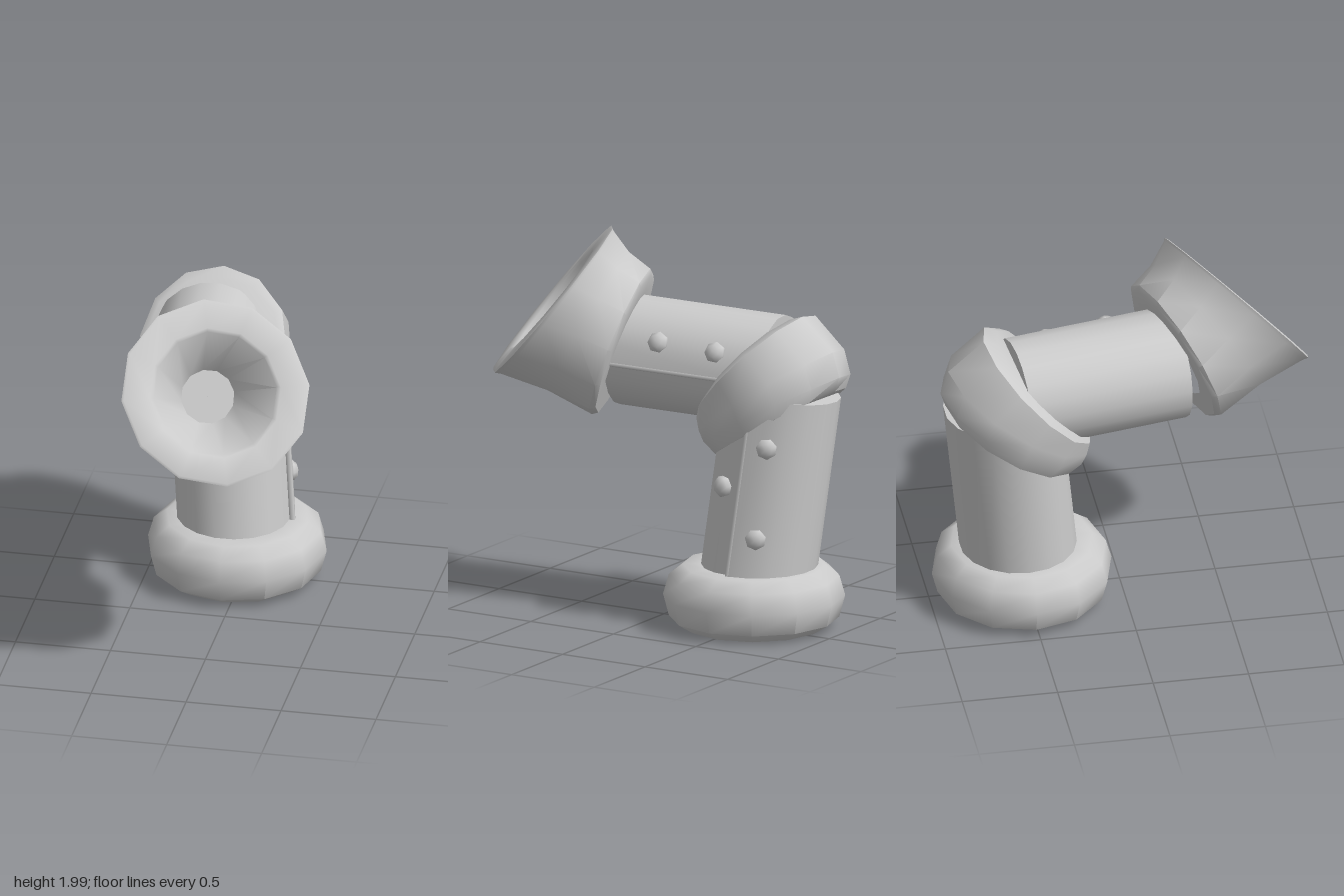
import * as THREE from 'three';
import { toCreasedNormals } from 'three/addons/utils/BufferGeometryUtils.js';

const V = (x, y, z) => new THREE.Vector3(x, y, z);
const material = new THREE.MeshStandardMaterial({ color: 0xcccccc });

// Side axes of a section facing along d, the first one as close to +x as possible
function axes(d) {
  const n = d.clone().normalize();
  const s = V(1, 0, 0).addScaledVector(n, -n.x).normalize();
  return [s, n.clone().cross(s)];
}

// Closed loop of points round c; s and t are the half axes
function ellipse(c, s, t, sides = 12, phase = 0) {
  return Array.from({ length: sides }, (_, i) => {
    const a = (i / sides) * Math.PI * 2 + phase;
    return c.clone().addScaledVector(s, Math.cos(a)).addScaledVector(t, Math.sin(a));
  });
}

function circle(c, d, r, phase = 0) {
  const [s, t] = axes(d);
  return ellipse(c, s.multiplyScalar(r), t.multiplyScalar(r), 12, phase);
}

// Skin through a row of loops
function loft(name, loops) {
  const n = loops[0].length, index = [];
  for (let i = 0; i < loops.length - 1; i++) {
    for (let j = 0; j < n; j++) {
      const a = i * n + j, b = i * n + (j + 1) % n;
      index.push(a, b, b + n, a, b + n, a + n);
    }
  }
  const geo = new THREE.BufferGeometry().setFromPoints(loops.flat());
  geo.setIndex(index);
  const mesh = new THREE.Mesh(toCreasedNormals(geo, 0.75), material);
  mesh.name = name;
  return mesh;
}

// Rolled sheet pipe whose outer edge overlaps the inner one along +x
function pipe(name, from, to, r) {
  const d = to.clone().sub(from), [s, t] = axes(d), steps = 18;
  const loop = (c, k) => Array.from({ length: steps + 1 }, (_, i) => {
    const a = (i / steps) * Math.PI * 2;
    const rad = k * (r + 0.012 - 0.026 * (i / steps));
    return c.clone().addScaledVector(s, rad * Math.cos(a)).addScaledVector(t, rad * Math.sin(a));
  });
  const group = new THREE.Group();
  group.name = name;
  group.add(loft(name + 'Sheet', [loop(from, 0.001), loop(from, 1), loop(to, 1), loop(to, 0.001)]));

  // Rounded lip along the seam
  const lip = new THREE.Mesh(new THREE.CylinderGeometry(0.016, 0.016, d.length(), 6), material);
  lip.name = name + 'SeamLip';
  lip.position.copy(from).lerp(to, 0.5).addScaledVector(s, r - 0.001);
  lip.quaternion.setFromUnitVectors(V(0, 1, 0), d.normalize());
  group.add(lip);
  return group;
}

// Domed rivet pointing outward from the pipe axis
function rivet(pos, out) {
  const mesh = new THREE.Mesh(new THREE.SphereGeometry(0.058, 7, 5), material);
  mesh.name = 'rivet';
  mesh.position.copy(pos);
  mesh.scale.y = 0.75;
  mesh.quaternion.setFromUnitVectors(V(0, 1, 0), out.clone().normalize());
  return mesh;
}

export function createModel() {
  const model = new THREE.Group();
  model.name = 'bentPipe';

  // Hollow foot ring: radius, height
  const up = V(0, 1, 0);
  const foot = [[0.36, 0], [0.44, 0.05], [0.47, 0.165], [0.44, 0.27], [0.37, 0.325], [0.27, 0.325]];
  const hollow = [[0.3, 0.29], [0.335, 0.12], [0.36, 0]];
  for (const [name, profile] of [['footRing', foot], ['footHollow', hollow]]) {
    model.add(loft(name, profile.map(([r, y]) => circle(V(-0.04, y, -0.52), up, r))));
  }

  // Two straight pipes
  model.add(pipe('riser', V(-0.052, 0.27, -0.53), V(-0.13, 1.25, -0.635), 0.303));
  model.add(pipe('upperPipe', V(-0.195, 1.322, -0.58), V(-0.08, 1.35, 0.28), 0.292));

  // Wedge-shaped elbow band: inner z, y, outer z, y, half width
  const band = [
    [-0.28, 0.87, -0.94, 1.275, 0.355],
    [-0.21, 0.93, -0.965, 1.35, 0.385],
    [-0.185, 0.98, -0.925, 1.48, 0.392],
    [-0.18, 1.04, -0.74, 1.645, 0.385],
    [-0.23, 1.11, -0.665, 1.62, 0.35],
  ].map(([z0, y0, z1, y1, w]) => ({
    c: V(-0.155, (y0 + y1) / 2, (z0 + z1) / 2),
    s: V(w, 0, 0),
    t: V(0, (y1 - y0) / 2, (z1 - z0) / 2),
  }));
  const closed = ({ c, s, t }) => ellipse(c, s.clone().multiplyScalar(0.001), t.clone().multiplyScalar(0.001));
  model.add(loft('elbowBand', [
    closed(band[0]),
    ...band.map(({ c, s, t }) => ellipse(c, s, t)),
    closed(band[4]),
  ]));

  // Flared horn that turns upward: distance from back to rim, radius
  const back = V(-0.05, 1.39, 0.27), rim = V(0.08, 1.61, 0.63);
  const backDir = V(0.3, 0.33, 0.89), rimDir = V(0.325, 0.63, 0.705);
  const horn = [
    [0, 0.25], [0, 0.385], [0.05, 0.41], [0.5, 0.425], [0.94, 0.485], [0.985, 0.497],
    [1, 0.485], [1, 0.345], [0.97, 0.325], [0.27, 0.14], [0.27, 0.001],
  ];
  model.add(loft('horn', horn.map(([k, r]) => circle(
    back.clone().lerp(rim, k), backDir.clone().lerp(rimDir, k), r, Math.PI / 12))));

  // Rivets beside the seams
  const rivets = [
    [V(0.17, 1.01, -0.725), V(1, 0, -0.4)],
    [V(0.187, 0.78, -0.47), V(1, 0, 0.4)],
    [V(0.205, 0.53, -0.68), V(1, 0, -0.42)],
    [V(0.14, 1.48, -0.05), V(1, 0.5, -0.1)],
    [V(0.1, 1.46, -0.37), V(1, 0.45, -0.1)],
  ];
  for (const [pos, out] of rivets) model.add(rivet(pos, out));

  return model;
}
